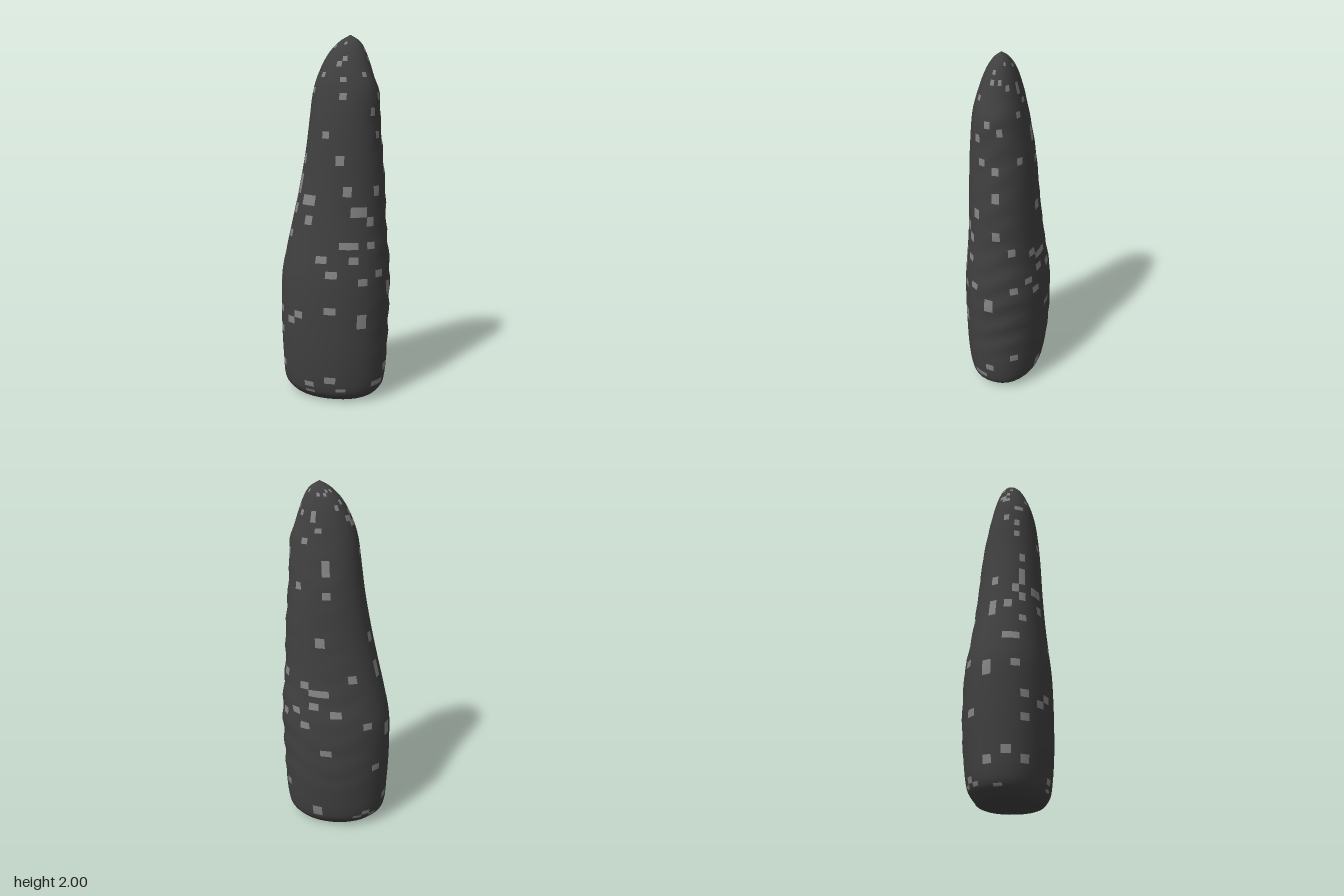
import * as THREE from 'three';

const SIDES = 32, RINGS = 64;

// Cross-sections from base to tip: [height, x min, x max, z min, z max]
const SECTIONS = [
  [0.01, 0, 0, 0.01, 0.01],
  [0.005, -0.19, 0.19, -0.13, 0.15],
  [0.04, -0.26, 0.255, -0.175, 0.2],
  [0.1, -0.295, 0.285, -0.205, 0.22],
  [0.25, -0.305, 0.298, -0.225, 0.235],
  [0.4, -0.311, 0.302, -0.235, 0.24],
  [0.55, -0.311, 0.306, -0.235, 0.24],
  [0.7, -0.305, 0.308, -0.23, 0.235],
  [0.85, -0.275, 0.3, -0.208, 0.22],
  [1.0, -0.24, 0.285, -0.19, 0.206],
  [1.2, -0.195, 0.278, -0.173, 0.193],
  [1.4, -0.157, 0.262, -0.158, 0.185],
  [1.55, -0.136, 0.25, -0.138, 0.175],
  [1.7, -0.115, 0.243, -0.11, 0.158],
  [1.8, -0.085, 0.21, -0.088, 0.133],
  [1.9, -0.035, 0.175, -0.06, 0.095],
  [1.965, 0.025, 0.138, -0.028, 0.055],
  [2.0, 0.085, 0.085, 0.012, 0.012],
];

function seeded(seed) {
  return () => (seed = (seed * 16807) % 2147483647) / 2147483647;
}

export function createModel() {
  const curve = (a, b) => new THREE.CatmullRomCurve3(
    SECTIONS.map(s => new THREE.Vector3(s[a], s[0], s[b])), false, 'catmullrom', 0.5);
  const widthCurve = curve(1, 2), depthCurve = curve(3, 4);
  const round = v => Math.sign(v) * Math.abs(v) ** (2 / 2.12);

  // Rings of slightly squared ovals, with weathered ripples on the right-hand and back faces
  const positions = [];
  for (let j = 0; j <= RINGS; j++) {
    const w = widthCurve.getPoint(j / RINGS), d = depthCurve.getPoint(j / RINGS);
    const rough = THREE.MathUtils.smoothstep(w.y, 0.15, 0.4) * (1 - THREE.MathUtils.smoothstep(w.y, 1.65, 1.9));
    for (let i = 0; i < SIDES; i++) {
      const a = i / SIDES * Math.PI * 2, c = Math.cos(a), s = Math.sin(a);
      const ripple = 1 + 0.018 * rough * Math.max(0, 0.7 * c - 0.7 * s) * Math.sin(w.y * 42 + 2 * Math.sin(3 * a));
      positions.push(
        (w.x + w.z) / 2 + (w.z - w.x) / 2 * round(c) * ripple,
        w.y,
        (d.x + d.z) / 2 + (d.z - d.x) / 2 * round(s) * ripple);
    }
  }

  // Split the faces into dark stone and scattered pale flecks
  const vertex = (j, i) => j * SIDES + (j === 0 || j === RINGS ? 0 : i % SIDES);
  const stone = [], flecks = [], random = seeded(71);
  for (let j = 0; j < RINGS; j++) {
    for (let i = 0; i < SIDES; i++) {
      const a = vertex(j, i + 1), b = vertex(j, i), c = vertex(j + 1, i), d = vertex(j + 1, i + 1);
      const pale = random() < 0.07 && j > 8 && j < RINGS - 4;
      const target = pale ? flecks : stone;
      if (j > 0) target.push(a, b, c);
      else target.push(b, c, d);
      if (j > 0 && j < RINGS - 1) target.push(a, c, d);
    }
  }

  const surface = new THREE.BufferGeometry();
  surface.setAttribute('position', new THREE.Float32BufferAttribute(positions, 3));
  surface.setIndex([...stone, ...flecks]);
  surface.computeVertexNormals();

  const group = new THREE.Group();
  group.name = 'standingStone';
  const add = (name, index, color) => {
    const geometry = surface.clone();
    geometry.setIndex(index);
    const mesh = new THREE.Mesh(geometry, new THREE.MeshStandardMaterial({ color }));
    mesh.name = name;
    group.add(mesh);
  };
  add('stoneBody', stone, 0x404040);
  add('paleFlecks', flecks, 0x858585);
  return group;
}
